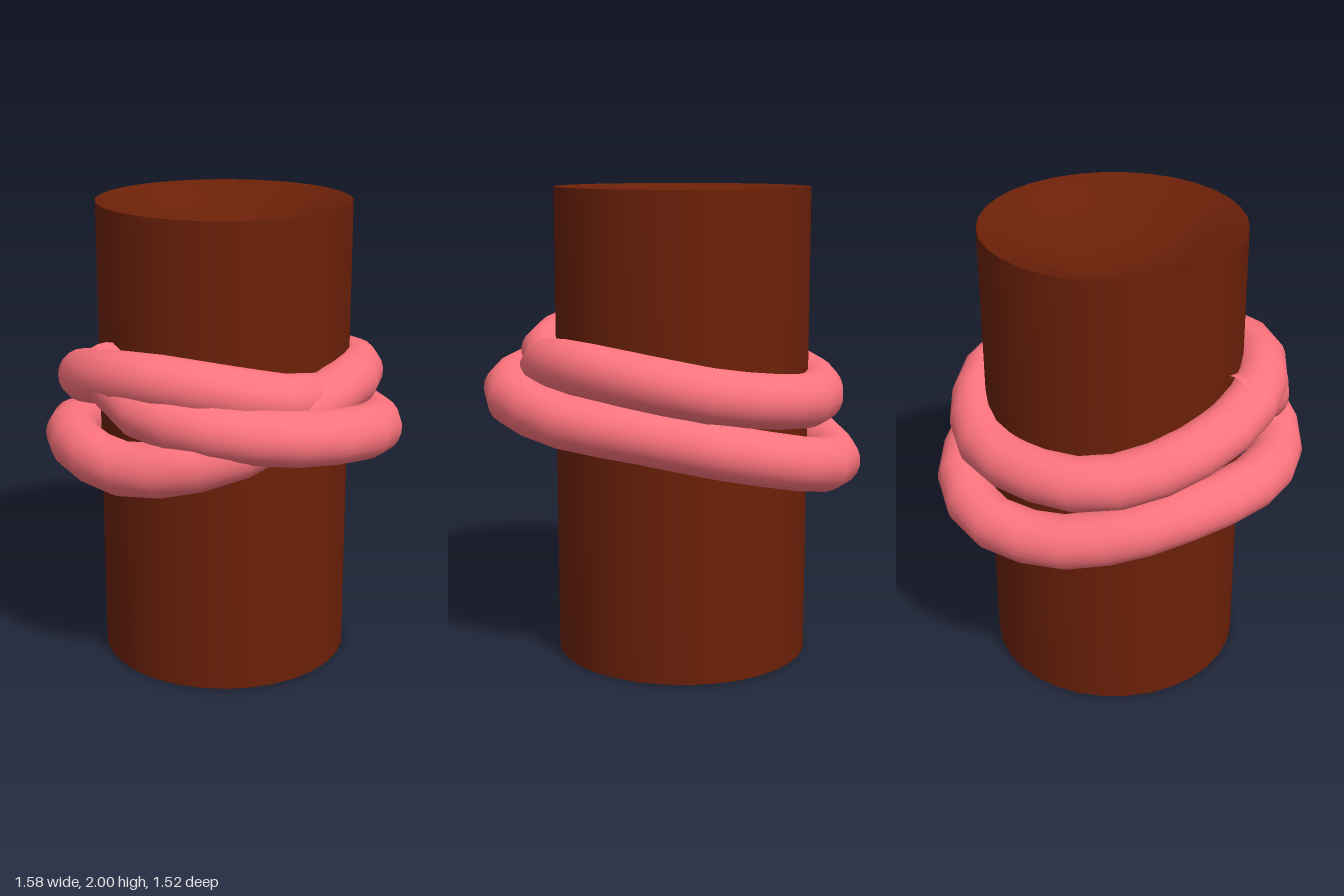
import * as THREE from 'three';
import { toCreasedNormals } from 'three/addons/utils/BufferGeometryUtils.js';

const CX = -0.06, CZ = -0.045; // trunk axis

// Path of the coil: [angle in degrees from the front towards +x, distance from axis, height]
const COIL = [
  [-16, 0.56, 1.35], [-4, 0.6, 1.325], [8, 0.62, 1.255], [20, 0.64, 1.225], [40, 0.675, 1.2], [65, 0.72, 1.17],
  [90, 0.742, 1.14], [106, 0.71, 1.11], [120, 0.66, 1.08], [135, 0.61, 1.06], [150, 0.58, 1.04],
  [180, 0.605, 0.985], [210, 0.655, 0.915], [225, 0.67, 0.88],
  [240, 0.665, 0.865], [265, 0.63, 0.87], [290, 0.63, 0.935], [315, 0.655, 1.01], [340, 0.685, 1.025],
  [360, 0.695, 1.01], [375, 0.695, 1.01], [390, 0.685, 1.05], [405, 0.66, 1.09], [425, 0.605, 1.17],
  [450, 0.585, 1.26], [475, 0.58, 1.285], [510, 0.575, 1.255], [540, 0.59, 1.2], [585, 0.595, 1.14],
  [630, 0.595, 1.14], [652, 0.6, 1.175], [675, 0.605, 1.24], [700, 0.615, 1.305], [720, 0.62, 1.35],
  [740, 0.615, 1.365], [765, 0.605, 1.335], [790, 0.595, 1.28], [806, 0.55, 1.25], [818, 0.48, 1.22],
];

export function createModel() {
  const group = new THREE.Group();

  // Trunk: straight cylinder, flat base, shallow dished top
  const profile = [
    [0, 0], [0.54, 0], [0.54, 2], [0.47, 1.975],
    [0.38, 1.93], [0.25, 1.88], [0.12, 1.855], [0, 1.85],
  ].map(([r, y]) => new THREE.Vector2(r, y));
  const trunk = new THREE.Mesh(
    toCreasedNormals(new THREE.LatheGeometry(profile, 32), 0.7),
    new THREE.MeshStandardMaterial({ color: 0x6b2008 })
  );
  trunk.name = 'trunk';
  trunk.position.set(CX, 0, CZ);
  group.add(trunk);

  // Coil: one tube wound twice around the trunk, both ends tucked in
  const points = COIL.map(([deg, r, y]) => {
    const a = THREE.MathUtils.degToRad(deg);
    return new THREE.Vector3(CX + r * Math.sin(a), y, CZ + r * Math.cos(a));
  });
  const coil = new THREE.Mesh(
    new THREE.TubeGeometry(new THREE.CatmullRomCurve3(points), 56, 0.112, 20),
    new THREE.MeshStandardMaterial({ color: 0xff747e })
  );
  coil.name = 'coil';
  group.add(coil);

  return group;
}
